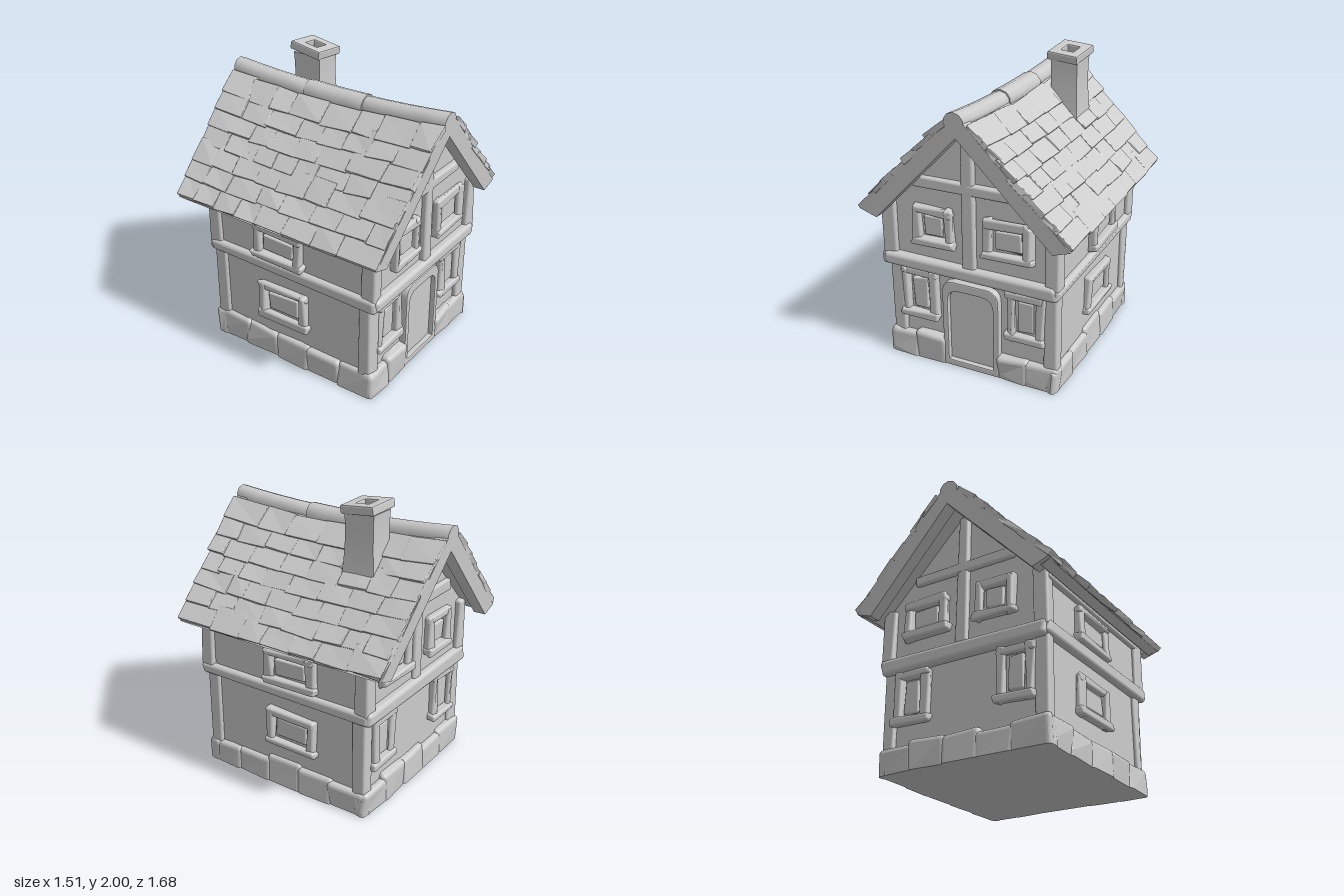
import * as THREE from 'three';
import { RoundedBoxGeometry } from 'three/addons/geometries/RoundedBoxGeometry.js';

const plaster = new THREE.MeshStandardMaterial({ color: 0xcccccc });
plaster.name = 'pale grey';

// Small seeded random generator
function makeRandom(seed) {
  return () => {
    seed = (seed * 16807) % 2147483647;
    return seed / 2147483647;
  };
}

export function createModel() {
  const random = makeRandom(77);
  const spread = (a) => (random() * 2 - 1) * a;
  const model = new THREE.Group();
  model.name = 'cottage';

  function add(parent, name, geometry, x = 0, y = 0, z = 0) {
    const mesh = new THREE.Mesh(geometry, plaster);
    mesh.name = name;
    mesh.position.set(x, y, z);
    parent.add(mesh);
    return mesh;
  }

  // Move every vertex by a rule
  function warp(geometry, rule) {
    const p = geometry.attributes.position;
    const v = new THREE.Vector3();
    for (let i = 0; i < p.count; i++) {
      v.fromBufferAttribute(p, i);
      rule(v);
      p.setXYZ(i, v.x, v.y, v.z);
    }
    geometry.computeVertexNormals();
    return geometry;
  }

  // Box with softened edges and slightly uneven, hand-cut ends
  function rough(w, h, d, wobble = 0.008, soft = 0.018) {
    const g = new RoundedBoxGeometry(w, h, d, 2, Math.min(soft, w / 3, h / 3, d / 3));
    const corners = Array.from({ length: 8 }, () => [spread(wobble), spread(wobble), spread(wobble)]);
    const p = g.attributes.position;
    for (let i = 0; i < p.count; i++) {
      const c = corners[(p.getX(i) > 0 ? 1 : 0) + (p.getY(i) > 0 ? 2 : 0) + (p.getZ(i) > 0 ? 4 : 0)];
      p.setXYZ(i, p.getX(i) + c[0], p.getY(i) + c[1], p.getZ(i) + c[2]);
    }
    return g;
  }

  // Walls with pointed gables; the upper storey is a little wider
  function house(half, y0, y1, zBack, zFront, peak) {
    const s = new THREE.Shape();
    s.moveTo(-half, y0);
    s.lineTo(half, y0);
    s.lineTo(half, y1);
    if (peak) s.lineTo(0, peak);
    s.lineTo(-half, y1);
    const g = new THREE.ExtrudeGeometry(s, { depth: zFront - zBack, bevelEnabled: false });
    return g.translate(0, 0, zBack);
  }
  add(model, 'lowerWalls', house(0.585, 0, 0.75, -0.58, 0.65));
  add(model, 'upperWalls', house(0.6, 0.72, 1.13, -0.605, 0.68, 1.74));

  // Timber frame: corner posts and the belt between the storeys
  for (const sx of [-1, 1]) {
    for (const z of [0.635, -0.56]) {
      add(model, 'lowerPost', rough(0.1, 0.7, 0.09), sx * 0.56, 0.37, z);
    }
    for (const z of [0.665, -0.59]) {
      add(model, 'upperPost', rough(0.1, 0.4, 0.1), sx * 0.58, 0.94, z);
    }
    add(model, 'sideBelt', rough(0.09, 0.09, 1.36, 0.008, 0.028), sx * 0.59, 0.725, 0.045);
    add(model, 'wallPlate', rough(0.08, 0.08, 1.3), sx * 0.59, 1.1, 0.04);
  }
  for (const [z, out] of [[0.685, 1], [-0.605, -1]]) {
    add(model, 'endBelt', rough(1.24, 0.1, 0.1, 0.008, 0.03), 0, 0.725, z);
    add(model, 'gableBeam', rough(0.78, 0.08, 0.07), 0, 1.31, z - out * 0.005);
    add(model, 'centrePost', rough(0.09, 0.94, 0.07), 0, 1.22, z - out * 0.005);
  }

  // Uneven foundation stones along all four sides, leaving the doorway free
  function stones(from, to, count, place) {
    const step = (to - from) / count;
    for (let i = 0; i < count; i++) {
      place(from + step * (i + 0.5), step + 0.03, 0.18 + spread(0.02));
    }
  }
  const stone = (w, h, d, x, z) =>
    add(model, 'foundationStone', warp(rough(w, h, d, 0.01, 0.03), (v) => {
      if (v.y < -h * 0.3) v.y = -h / 2;
    }), x, h / 2, z);
  const along = (z) => (x, w, h) => stone(w, h, 0.1, x, z);
  stones(-0.61, -0.2, 2, along(0.655));
  stones(0.2, 0.61, 2, along(0.655));
  stones(-0.61, 0.61, 5, along(-0.575));
  for (const sx of [-1, 1]) {
    stones(-0.6, 0.69, 5, (z, w, h) => stone(0.09, h, w, sx * 0.575, z));
  }

  // Doorway with an arched surround and a plain door leaf
  function arch(half, top, bottom, Path) {
    const p = new Path();
    p.moveTo(-half, bottom);
    p.lineTo(half, bottom);
    p.lineTo(half, top - 0.09);
    p.quadraticCurveTo(half, top, half - 0.09, top);
    p.lineTo(-half + 0.09, top);
    p.quadraticCurveTo(-half, top, -half, top - 0.09);
    return p;
  }
  const surround = arch(0.205, 0.64, 0, THREE.Shape);
  surround.holes.push(arch(0.165, 0.575, 0.045, THREE.Path));
  add(model, 'doorSurround', new THREE.ExtrudeGeometry(surround, {
    depth: 0.045, bevelThickness: 0.008, bevelSize: 0.008, bevelOffset: -0.008, bevelSegments: 2,
  }), 0, 0, 0.645);
  add(model, 'door', new THREE.ExtrudeGeometry(arch(0.17, 0.58, 0.03, THREE.Shape), {
    depth: 0.02, bevelEnabled: false,
  }), 0, 0, 0.643);

  // Window: chunky frame, small raised pane, lintel and sill
  function addWindow(x, y, z, turn, w, h) {
    const g = new THREE.Group();
    g.name = 'window';
    for (const s of [-1, 1]) {
      add(g, 'windowJamb', rough(0.06, h, 0.06, 0.01), s * (w / 2 - 0.03), 0, 0.005);
    }
    add(g, 'windowLintel', rough(w, 0.055, 0.06, 0.01), 0, h / 2 - 0.027, 0.005);
    add(g, 'windowSill', rough(w + 0.02, 0.05, 0.075, 0.008), 0, -h / 2 + 0.025, 0.01);
    add(g, 'windowPane', rough(w - 0.16, h - 0.14, 0.03, 0.006, 0.01), 0, 0, 0.002);
    g.position.set(x, y, z);
    g.rotation.set(0, turn, spread(0.03));
    model.add(g);
  }
  for (const [lower, upper, turn] of [[0.657, 0.69, 0], [-0.59, -0.617, Math.PI]]) {
    for (const sx of [-1, 1]) {
      addWindow(sx * 0.385, 0.49, lower, turn, 0.27, 0.36);
    }
    addWindow(-0.25, 1.015, upper, turn, 0.29, 0.27);
    addWindow(0.28, 1.015, upper, turn, 0.34, 0.27);
  }
  for (const sx of [-1, 1]) {
    addWindow(sx * 0.59, 0.44, -0.025, sx * Math.PI / 2, 0.4, 0.27);
    addWindow(sx * 0.612, 0.905, -0.04, sx * Math.PI / 2, 0.4, 0.25);
  }

  // Roof parts share a sagging ridge and ends that lean out towards the top
  const roof = new THREE.Group();
  roof.name = 'roof';
  model.add(roof);
  const sag = (g) => warp(g, (v) => {
    v.y -= 0.045 * (1 - (v.z / 0.84) ** 2) * Math.max(0, (v.y - 1) / 0.85);
    v.z *= 1 + 0.05 * (v.y - 1.1) / 0.75;
  });
  // Inverted V with cut-back eaves
  function chevron(top, bottom, half, inset, z, depth) {
    const s = new THREE.Shape();
    const inner = half - inset;
    s.moveTo(0, top);
    s.lineTo(-half, top - 1.05 * half);
    s.lineTo(-inner, bottom - 1.05 * inner);
    s.lineTo(0, bottom);
    s.lineTo(inner, bottom - 1.05 * inner);
    s.lineTo(half, top - 1.05 * half);
    const g = new THREE.ExtrudeGeometry(s, { depth, steps: 8, bevelEnabled: false });
    return sag(g.translate(0, 0, z));
  }
  add(roof, 'roofDeck', chevron(1.84, 1.75, 0.725, 0.06, -0.77, 1.54));
  add(roof, 'frontBargeBoard', chevron(1.85, 1.69, 0.73, 0.115, 0.71, 0.085));
  add(roof, 'backBargeBoard', chevron(1.85, 1.69, 0.73, 0.115, -0.795, 0.085));

  // Overlapping rows of shingles with irregular widths
  const pitch = Math.atan(1.05);
  const rows = 7;
  for (const sx of [-1, 1]) {
    for (let r = 0; r < rows; r++) {
      const x = 0.1 + (r + 0.5) * 0.0885;
      let z = -0.79;
      while (z < 0.78) {
        let w = 0.15 + random() * 0.1;
        if (z + w > 0.7) w = 0.79 - z;
        const g = rough(0.175 + spread(0.008), 0.04, w + 0.008, 0.008, 0.006);
        g.rotateZ(-sx * (pitch - 0.07));
        g.translate(sx * x, 1.87 - 1.05 * x + spread(0.004), z + w / 2);
        add(roof, 'shingle', sag(g));
        z += w;
      }
    }
  }

  // Ridge logs, tucked between the gable boards
  for (const [a, b, r] of [[-0.795, -0.2, 0.07], [-0.22, 0.22, 0.078], [0.2, 0.795, 0.068]]) {
    const g = new THREE.CylinderGeometry(r, r, b - a, 10, 4);
    g.rotateX(Math.PI / 2).translate(-0.008, 1.787, (a + b) / 2);
    add(roof, 'ridgeCap', sag(g));
  }

  // Chimney: flared shaft and a tilted square cap with an open flue
  const chimney = new THREE.Group();
  chimney.name = 'chimney';
  model.add(chimney);
  add(chimney, 'chimneyShaft', warp(new THREE.BoxGeometry(0.175, 0.48, 0.195, 1, 6, 1), (v) => {
    const t = 0.5 - v.y / 0.48;
    const flare = 1 + 0.3 * t * t + 0.1 * (1 - t) ** 4;
    v.x *= flare;
    v.z *= flare;
  }), 0.225, 1.685, -0.36);
  const ring = (x, z) => [[-x, -z], [x, -z], [x, z], [-x, z]].map((p) => new THREE.Vector2(...p));
  const cap = new THREE.Shape(ring(0.1, 0.115));
  cap.holes.push(new THREE.Path(ring(0.055, 0.06).reverse()));
  const capGeometry = new THREE.ExtrudeGeometry(cap, {
    depth: 0.04, bevelThickness: 0.01, bevelSize: 0.01, bevelSegments: 2,
  });
  capGeometry.rotateX(-Math.PI / 2);
  const capMesh = add(chimney, 'chimneyCap', capGeometry, 0.225, 1.93, -0.362);
  capMesh.rotation.set(0.12, -0.08, -0.05);

  return model;
}
